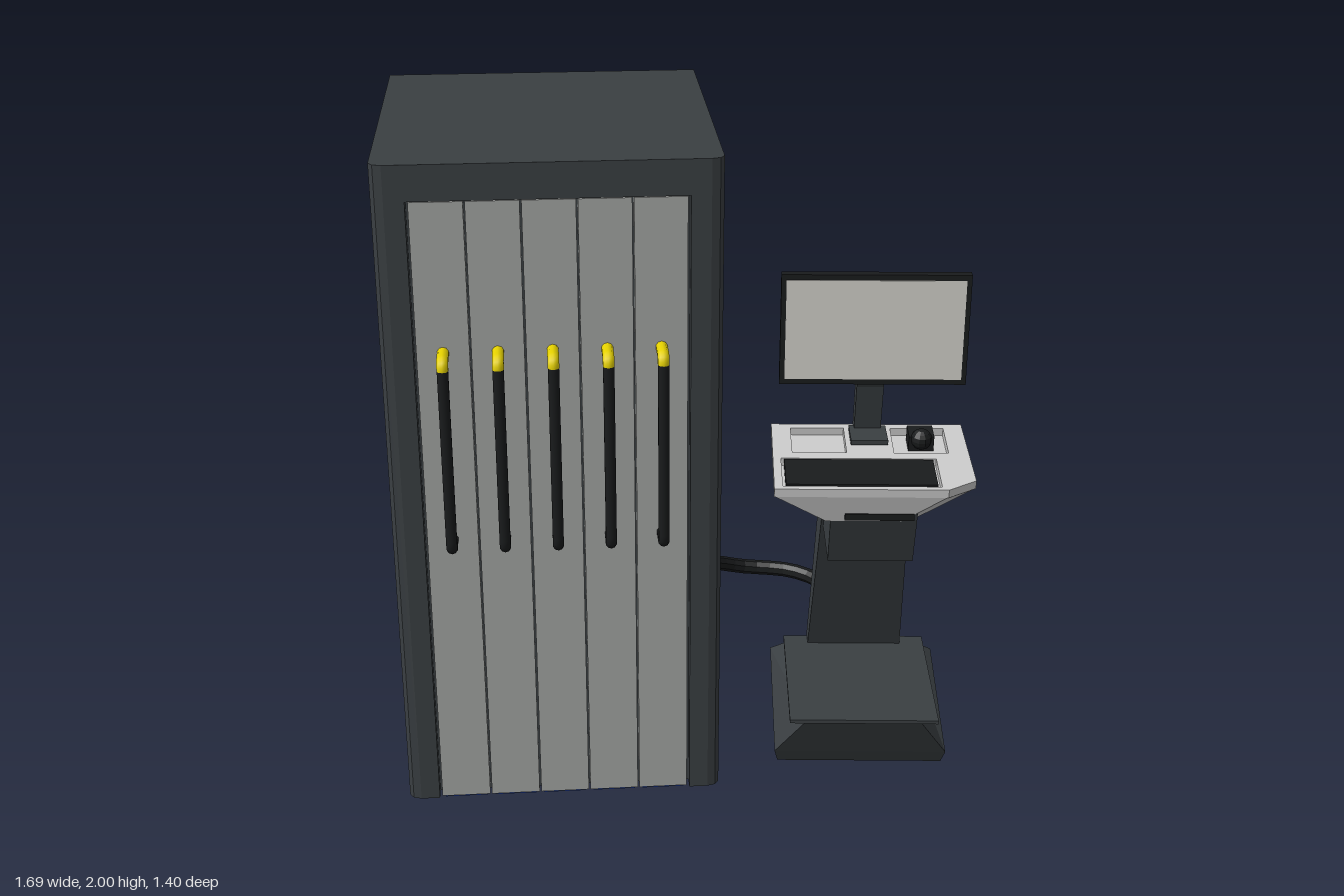
import * as THREE from 'three';

const mat = (color, flat = true) => new THREE.MeshStandardMaterial({ color, flatShading: flat, side: THREE.DoubleSide });
const DARK = mat(0x3a3f42), BLACK = mat(0x191b1c), PANEL = mat(0xa4a6a4), TRAY = mat(0xc0c2c0);
const SCREEN = mat(0xd0cfc8), BLUE = mat(0x1c3c9a), YELLOW = mat(0xe6d200, false), GRIP = mat(0x191b1c, false);
const V = (x, y, z) => new THREE.Vector3(x, y, z);

function add(parent, name, geometry, material, x = 0, y = 0, z = 0) {
  const m = new THREE.Mesh(geometry, material);
  m.name = name;
  m.position.set(x, y, z);
  parent.add(m);
  return m;
}
const box = (w, h, d) => new THREE.BoxGeometry(w, h, d);

// Plan outline of [x, z] points, extruded upward
function planExtrude(shape, height) {
  return new THREE.ExtrudeGeometry(shape, { depth: height, bevelEnabled: false }).rotateX(-Math.PI / 2);
}
const planShape = pts => new THREE.Shape(pts.map(([x, z]) => new THREE.Vector2(x, -z)));

// Side outline of [z, y] points, extruded across x and centred
function sideExtrude(pts, width) {
  const s = new THREE.Shape(pts.map(([z, y]) => new THREE.Vector2(z, y)));
  return new THREE.ExtrudeGeometry(s, { depth: width, bevelEnabled: false })
    .translate(0, 0, -width / 2).rotateY(-Math.PI / 2);
}

// Closed solid through rings, lowest first, each counter-clockwise from above
function loft(rings) {
  const p = [], n = rings[0].length;
  const tri = (...v) => v.forEach(q => p.push(q.x, q.y, q.z));
  for (let r = 0; r < rings.length - 1; r++) {
    const a = rings[r], b = rings[r + 1];
    for (let i = 0; i < n; i++) {
      const j = (i + 1) % n;
      tri(a[i], a[j], b[j]);
      tri(a[i], b[j], b[i]);
    }
  }
  const lo = rings[0], hi = rings[rings.length - 1];
  for (let i = 1; i < n - 1; i++) {
    tri(hi[0], hi[i], hi[i + 1]);
    tri(lo[0], lo[i + 1], lo[i]);
  }
  const g = new THREE.BufferGeometry();
  g.setAttribute('position', new THREE.Float32BufferAttribute(p, 3));
  g.computeVertexNormals();
  return g;
}
// Four-cornered ring with separate front and back heights
const ring = (hw, back, front, yBack, yFront) =>
  [V(-hw, yFront, front), V(hw, yFront, front), V(hw, yBack, back), V(-hw, yBack, back)];

function createCabinet() {
  const g = new THREE.Group();
  g.name = 'cabinet';
  const frontLeft = [[0.08, -0.36], [0.08, 0.595], [0.068, 0.613], [0.045, 0.62]];
  const frontRight = [[-0.815, 0.62], [-0.838, 0.613], [-0.85, 0.595], [-0.85, -0.36]];
  const pocket = [[-0.01, 0.62], [-0.01, 0.58], [-0.76, 0.58], [-0.76, 0.62]];
  // Lower shell has a pocket for the drawer fronts, the top closes it
  add(g, 'cabinetShell', planExtrude(planShape([...frontLeft, ...pocket, ...frontRight]), 1.86), DARK, 0, 0.04, 0);
  add(g, 'cabinetTop', planExtrude(planShape([...frontLeft, ...frontRight]), 0.1), DARK, 0, 1.9, 0);
  add(g, 'undersidePanel', box(0.89, 0.004, 0.92), BLACK, -0.385, 0.039, 0.11);
  for (const x of [-0.8, 0.03]) for (const z of [-0.31, 0.56])
    add(g, 'levellingFoot', new THREE.CylinderGeometry(0.03, 0.03, 0.012, 12), BLACK, x, 0.034, z);

  // Five pull-out drawers
  for (let i = 0; i < 5; i++) {
    const x = -0.681 + i * 0.148;
    add(g, 'drawerFront', box(0.143, 1.855, 0.03), PANEL, x, 0.9685, 0.597);
    add(g, 'drawerRunner', box(0.125, 0.012, 0.07), BLUE, x, 0.036, 0.565);
    const top = new THREE.CurvePath();
    top.add(new THREE.LineCurve3(V(x, 1.472, 0.605), V(x, 1.472, 0.665)));
    top.add(new THREE.QuadraticBezierCurve3(V(x, 1.472, 0.665), V(x, 1.472, 0.686), V(x, 1.45, 0.686)));
    add(g, 'handleTop', new THREE.TubeGeometry(top, 12, 0.0165, 10), YELLOW);
    const bar = new THREE.CurvePath();
    bar.add(new THREE.LineCurve3(V(x, 1.452, 0.686), V(x, 0.93, 0.686)));
    bar.add(new THREE.QuadraticBezierCurve3(V(x, 0.93, 0.686), V(x, 0.907, 0.686), V(x, 0.907, 0.665)));
    bar.add(new THREE.LineCurve3(V(x, 0.907, 0.665), V(x, 0.907, 0.605)));
    add(g, 'handleBar', new THREE.TubeGeometry(bar, 36, 0.016, 10), GRIP);
  }
  return g;
}

function createTray() {
  const g = new THREE.Group();
  g.name = 'tray';
  const outline = [[-0.29, 0.303], [0.208, 0.303], [0.292, 0.25], [0.287, -0.085], [-0.287, -0.085]];
  const under = [[-0.14, 0.285], [0.08, 0.285], [0.13, 0.26], [0.13, -0.085], [-0.14, -0.085]];
  add(g, 'trayBowl', loft([under.map(([x, z]) => V(x, -0.08, z)), outline.map(([x, z]) => V(x, 0.012, z))]), TRAY);
  // Rim with recesses for keyboard and accessories
  const rim = planShape(outline);
  const recess = (x0, x1, z0, z1) =>
    rim.holes.push(new THREE.Path([[x0, z0], [x1, z0], [x1, z1], [x0, z1]].map(([x, z]) => new THREE.Vector2(x, -z))));
  recess(-0.265, 0.19, 0.125, 0.285);
  recess(-0.23, -0.07, -0.06, 0.09);
  recess(0.07, 0.23, -0.06, 0.09);
  add(g, 'trayRim', planExtrude(rim, 0.026), TRAY, 0, 0.01, 0);
  add(g, 'keyboard', box(0.435, 0.025, 0.145), BLACK, -0.038, 0.025, 0.205);
  add(g, 'scannerCradle', box(0.075, 0.05, 0.07), BLACK, 0.155, 0.035, 0.0);
  add(g, 'scannerKnob', new THREE.SphereGeometry(0.032, 10, 8), BLACK, 0.155, 0.05, 0.03);
  g.position.y = 1.0;
  g.rotation.x = 0.08;
  return g;
}

function createTerminal() {
  const g = new THREE.Group();
  g.name = 'terminal';

  // Foot: flared sole under a thin overhanging plate
  add(g, 'foot', loft([
    ring(0.255, -0.23, 0.165, 0.05, 0.0),
    ring(0.265, -0.28, 0.19, 0.14, 0.05),
    ring(0.17, -0.23, 0.262, 0.21, 0.21),
  ]), DARK);
  add(g, 'footPlate', box(0.45, 0.012, 0.5), DARK, 0, 0.216, 0.03);

  // Leaning column, slightly wider at the bottom, with a block below the tray
  const column = sideExtrude([[-0.25, 0.18], [-0.19, 0.18], [0.03, 0.8], [0.03, 0.93], [-0.085, 0.93]], 1);
  const p = column.attributes.position;
  for (let i = 0; i < p.count; i++) p.setX(i, p.getX(i) * (0.3 - 0.045 * (p.getY(i) - 0.18) / 0.75));
  add(g, 'column', column, DARK);
  add(g, 'columnHead', sideExtrude([[-0.02, 0.74], [0.225, 0.74], [0.285, 0.925], [-0.02, 0.925]], 0.25), DARK);
  add(g, 'pullOutShelf', box(0.2, 0.02, 0.05), BLACK, 0.015, 0.915, 0.265);
  g.add(createTray());

  // Monitor on its stand
  add(g, 'standBase', box(0.11, 0.015, 0.11), DARK, 0, 1.044, 0.0);
  add(g, 'standNeck', sideExtrude([[-0.09, 1.03], [-0.04, 1.03], [0.0, 1.2], [0.025, 1.25], [0.025, 1.44],
    [-0.01, 1.43], [-0.035, 1.3]], 0.08), DARK);
  const back = (hw, y0, y1, z) => [V(-hw, y0, z), V(hw, y0, z), V(hw, y1, z), V(-hw, y1, z)];
  add(g, 'monitorHousing', loft([
    back(0.25, 1.255, 1.545, 0.012), back(0.272, 1.232, 1.57, 0.028), back(0.272, 1.232, 1.57, 0.056),
  ]), BLACK);
  add(g, 'screen', box(0.515, 0.305, 0.004), SCREEN, 0, 1.401, 0.056);

  g.position.set(0.55, 0, 0.3);
  g.rotation.y = -0.09;
  return g;
}

function createCable() {
  const g = new THREE.Group();
  g.name = 'cable';
  const path = new THREE.CatmullRomCurve3([
    V(0.125, 0.2, -0.27), V(0.118, 0.195, -0.45), V(0.17, 0.15, -0.59), V(0.29, 0.085, -0.675), V(0.47, 0.075, -0.645),
    V(0.565, 0.075, -0.55), V(0.592, 0.085, -0.4), V(0.585, 0.105, -0.2), V(0.57, 0.13, 0.04),
  ]);
  add(g, 'hose', new THREE.TubeGeometry(path, 28, 0.026, 8), BLACK);
  // Elbow connector on the cabinet and collars at both ends
  add(g, 'socket', new THREE.CylinderGeometry(0.028, 0.028, 0.07, 10).rotateZ(Math.PI / 2), BLACK, 0.105, 0.2, -0.255);
  add(g, 'cabinetCollar', new THREE.CylinderGeometry(0.034, 0.034, 0.05, 10).rotateX(Math.PI / 2), BLACK, 0.125, 0.2, -0.295);
  add(g, 'footCollar', new THREE.CylinderGeometry(0.034, 0.034, 0.05, 10).rotateX(Math.PI / 2), BLACK, 0.572, 0.128, 0.01);
  return g;
}

export function createModel() {
  const model = new THREE.Group();
  model.name = 'toolCabinetWithTerminal';
  model.add(createCabinet(), createTerminal(), createCable());
  return model;
}
